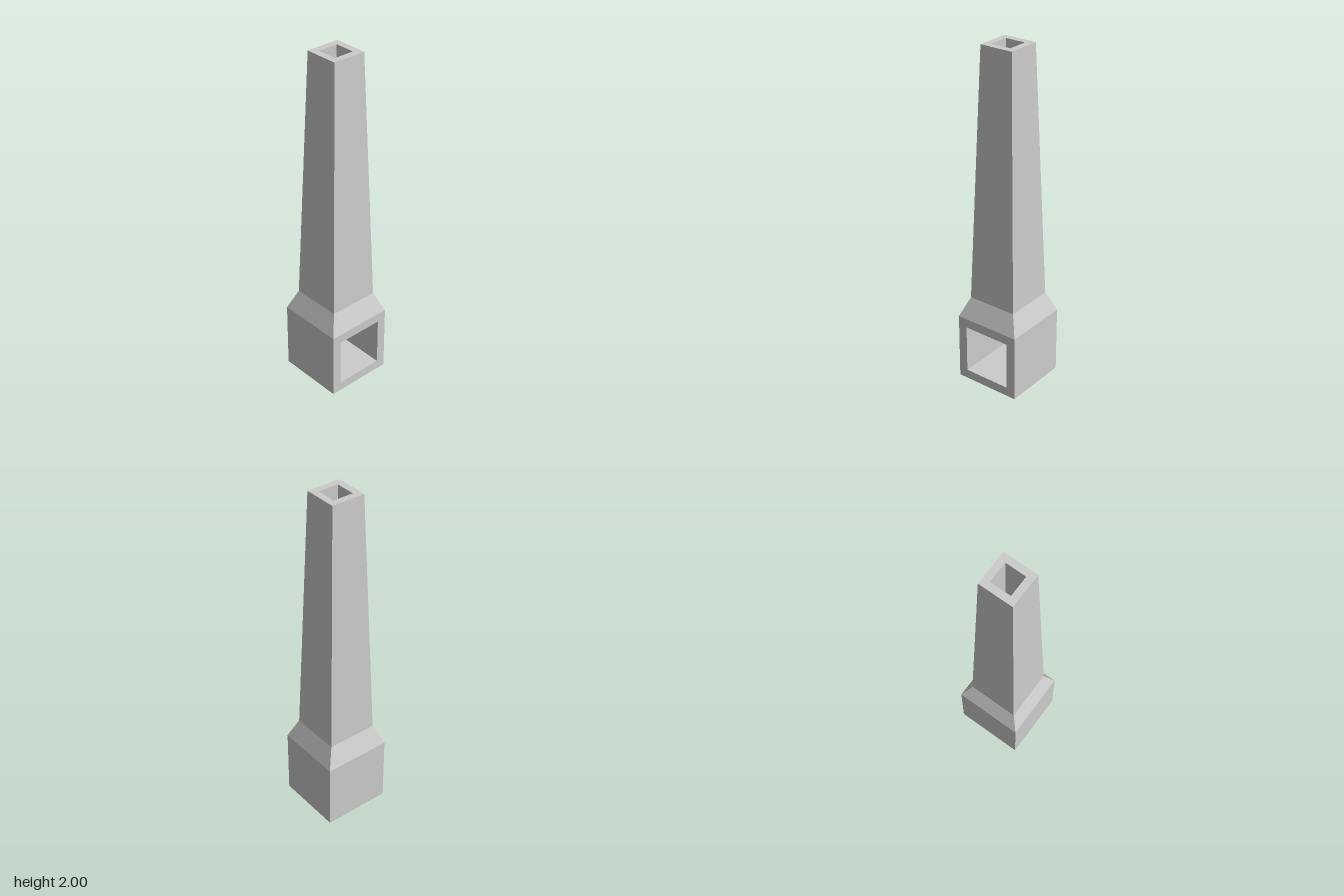
import * as THREE from 'three';

const material = new THREE.MeshStandardMaterial({ color: 0xcccccc, flatShading: true });
const HALF = 0.2;      // half width of the base
const WALL = 0.055;    // wall thickness around the firebox
const FLUE = 0.06;     // half width of the flue
const TOP = 2;

function corners(path, w, h, cx = 0, cy = 0) {
  path.moveTo(cx - w / 2, cy - h / 2);
  path.lineTo(cx + w / 2, cy - h / 2);
  path.lineTo(cx + w / 2, cy + h / 2);
  path.lineTo(cx - w / 2, cy + h / 2);
  path.closePath();
  return path;
}

// Flat rectangle facing +z before rotation, with an optional rectangular hole
function panel(name, w, h, position, rotation = [0, 0], hole = null) {
  const shape = corners(new THREE.Shape(), w, h);
  if (hole) shape.holes.push(corners(new THREE.Path(), ...hole));
  const mesh = new THREE.Mesh(new THREE.ShapeGeometry(shape), material);
  mesh.name = name;
  mesh.position.set(...position);
  mesh.rotation.set(rotation[0], rotation[1], 0);
  return mesh;
}

// Square tube from [half width, y] pairs; rising pairs face outward, falling inward
function squareTube(name, profile) {
  const points = profile.map(([half, y]) => new THREE.Vector2(half * Math.SQRT2, y));
  const mesh = new THREE.Mesh(new THREE.LatheGeometry(points, 4, Math.PI / 4), material);
  mesh.name = name;
  return mesh;
}

export function createModel() {
  const model = new THREE.Group();
  model.name = 'chimney';
  const Q = Math.PI / 2;
  const size = HALF * 2;
  const inner = size - WALL * 2;

  // Square base with the fireplace opening in front
  const base = new THREE.Group();
  base.name = 'base';
  base.add(
    panel('baseFront', size, size, [0, HALF, HALF], [0, 0], [inner, inner]),
    panel('baseBack', size, size, [0, HALF, -HALF], [0, 2 * Q]),
    panel('baseBottom', size, size, [0, 0, 0], [Q, 0])
  );
  for (const s of [-1, 1]) {
    base.add(panel(s > 0 ? 'baseLeft' : 'baseRight', size, size, [s * HALF, HALF, 0], [0, s * Q]));
  }

  // Hollow firebox, with the flue opening in its ceiling
  const firebox = new THREE.Group();
  firebox.name = 'firebox';
  const depth = size - WALL;
  const zMid = WALL / 2;
  const ceiling = size - WALL;
  firebox.add(
    panel('fireboxFloor', inner, depth, [0, WALL, zMid], [-Q, 0]),
    panel('fireboxBack', inner, inner, [0, HALF, WALL - HALF]),
    panel('fireboxCeiling', inner, depth, [0, ceiling, zMid], [Q, 0], [FLUE * 2, FLUE * 2, 0, -zMid])
  );
  for (const s of [-1, 1]) {
    firebox.add(panel(s > 0 ? 'fireboxLeft' : 'fireboxRight', depth, inner,
      [s * inner / 2, HALF, zMid], [0, -s * Q]));
  }

  // Sloped shoulder, tapering stack, inner flue and top rim
  model.add(
    base,
    firebox,
    squareTube('shoulder', [[HALF, size], [0.15, 0.52]]),
    squareTube('stack', [[0.15, 0.52], [0.1, TOP]]),
    squareTube('flue', [[FLUE, TOP], [FLUE, ceiling]]),
    panel('topRim', 0.2, 0.2, [0, TOP, 0], [-Q, 0], [FLUE * 2, FLUE * 2])
  );
  return model;
}
